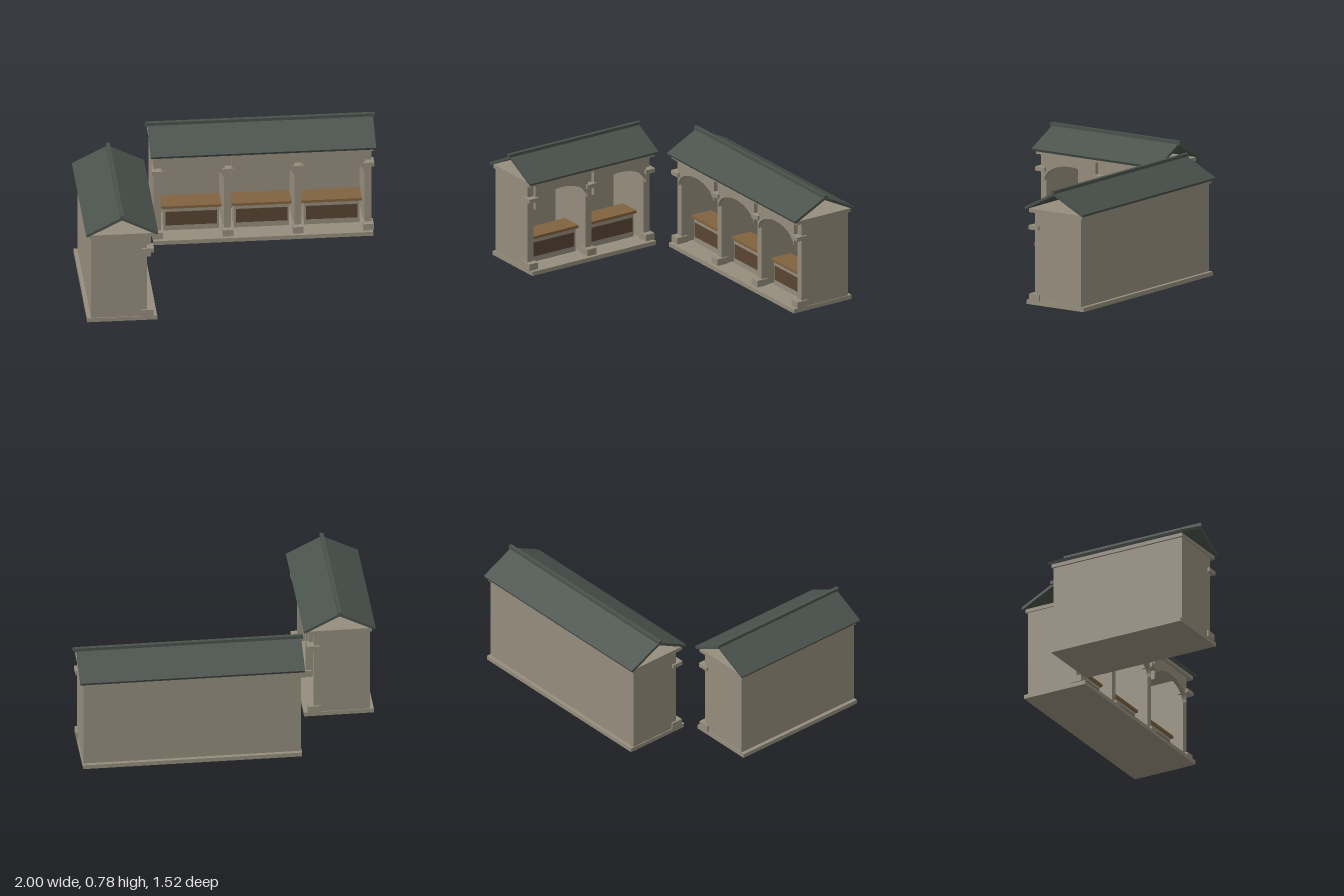
import * as THREE from 'three';

const material = (name, color) => {
  const m = new THREE.MeshStandardMaterial({ color });
  m.name = name;
  return m;
};

const BAY = 0.457;    // spacing between partitions
const WALL = 0.046;   // partition thickness

export function createModel() {
  const stone = material('stone', 0x958d7d);
  const roofing = material('roofing', 0x4a524c);
  const wood = material('wood', 0x80623f);
  const darkWood = material('darkWood', 0x594433);

  // Box given by its centre x, width, and y and z ranges
  const box = (parent, name, mat, x, w, y0, y1, z0, z1) => {
    const mesh = new THREE.Mesh(new THREE.BoxGeometry(w, y1 - y0, z1 - z0), mat);
    mesh.position.set(x, (y0 + y1) / 2, (z0 + z1) / 2);
    mesh.name = name;
    parent.add(mesh);
  };

  // Panel over one bay with an elliptical opening cut into its lower edge
  const archGeometry = () => {
    const r = (BAY - WALL) / 2;
    const s = new THREE.Shape();
    s.moveTo(r, 0.435);
    s.lineTo(r, 0.61);
    s.lineTo(-r, 0.61);
    s.lineTo(-r, 0.435);
    s.absellipse(0, 0.435, r - 0.001, 0.115, Math.PI, 0, true);
    return new THREE.ExtrudeGeometry(s, { depth: 0.03, bevelEnabled: false, curveSegments: 24 });
  };

  // Pitched roof: a thin open chevron run along x
  const roofGeometry = (length) => {
    const s = new THREE.Shape([
      [0.235, 0.646], [0, 0.765], [-0.235, 0.646],
      [-0.228, 0.63], [0, 0.745], [0.228, 0.63],
    ].map(([x, y]) => new THREE.Vector2(x, y)));
    return new THREE.ExtrudeGeometry(s, { depth: length, bevelEnabled: false })
      .translate(0, 0, -length / 2).rotateY(Math.PI / 2);
  };

  // Arcade of open bays along x, facing +z
  const arcade = (name, bays) => {
    const g = new THREE.Group();
    g.name = name;
    const run = bays * BAY;

    box(g, 'plinth', stone, 0, run + 0.057, 0, 0.028, -0.225, 0.23);
    box(g, 'backWall', stone, 0, run + WALL, 0.028, 0.61, -0.2, -0.18);
    box(g, 'cornice', stone, 0, run + 0.062, 0.61, 0.635, -0.213, 0.21);

    // Partitions with a foot and an impost on the front edge
    for (let i = 0; i <= bays; i++) {
      const x = i * BAY - run / 2;
      box(g, 'partition', stone, x, WALL, 0.028, 0.61, -0.19, 0.165);
      box(g, 'pillarFoot', stone, x, 0.068, 0.028, 0.073, 0.125, 0.205);
      box(g, 'impost', stone, x, 0.074, 0.497, 0.525, 0.132, 0.209);
    }

    // Arch and counter in each bay
    for (let i = 0; i < bays; i++) {
      const x = (i + 0.5) * BAY - run / 2;
      const arch = new THREE.Mesh(archGeometry(), stone);
      arch.name = 'arch';
      arch.position.set(x, 0, 0.163);
      g.add(arch);
      box(g, 'counterBody', stone, x, 0.36, 0.028, 0.192, -0.04, 0.085);
      box(g, 'counterPanel', darkWood, x, 0.334, 0.066, 0.163, 0.083, 0.09);
      box(g, 'counterTop', wood, x, 0.39, 0.192, 0.21, -0.055, 0.1);
    }

    const roof = new THREE.Mesh(roofGeometry(run + 0.094), roofing);
    roof.name = 'roof';
    g.add(roof);
    box(g, 'ridgeCap', roofing, 0, run + 0.118, 0.756, 0.78, -0.012, 0.012);
    return g;
  };

  const model = new THREE.Group();
  model.name = 'marketArcades';

  const long = arcade('longArcade', 3);
  long.position.set(0.25, 0, -0.525);

  const short = arcade('shortArcade', 2);
  short.position.set(-0.766, 0, 0.243);
  short.rotation.y = Math.PI / 2;

  model.add(long, short);
  return model;
}
